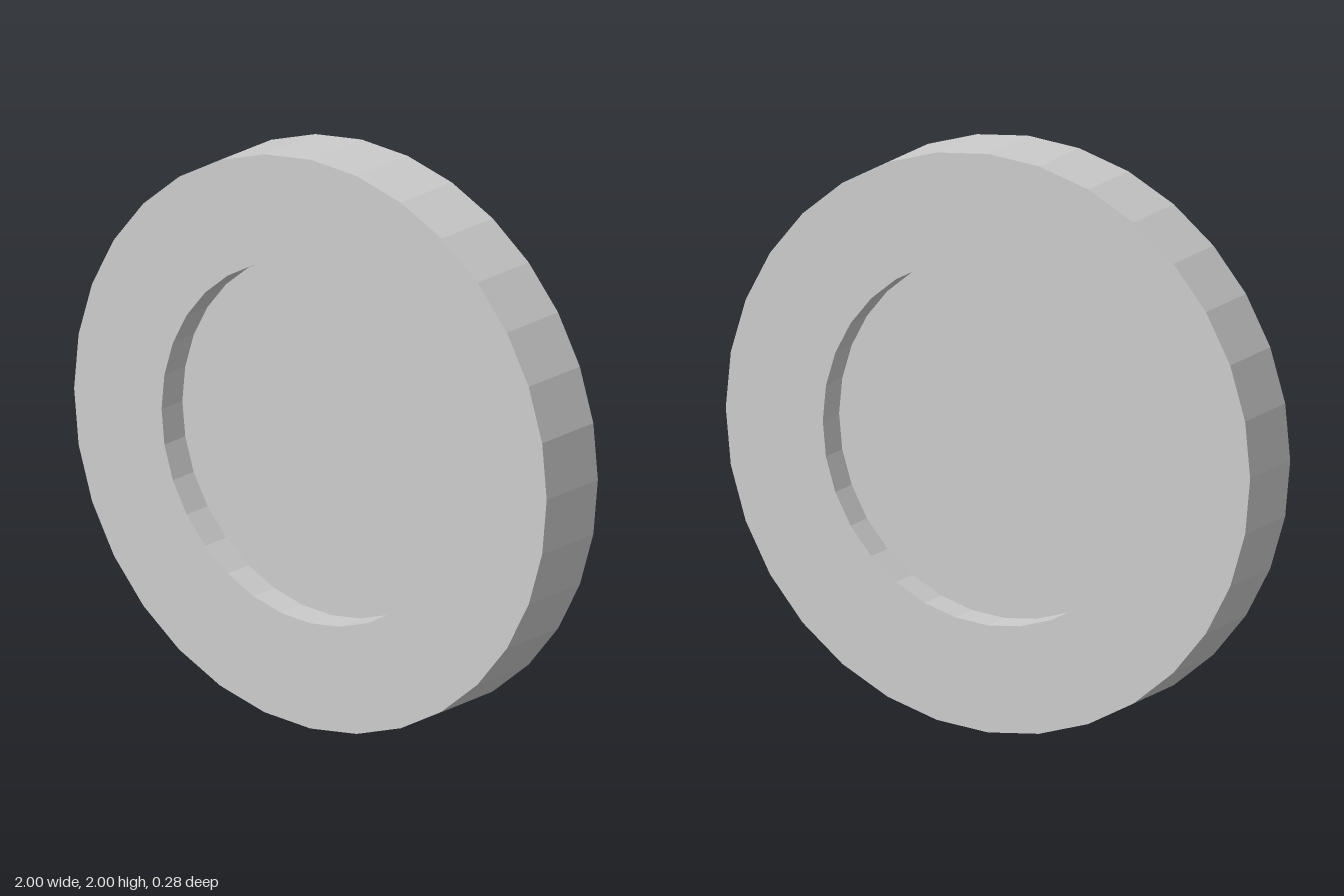
import * as THREE from 'three';

const SIDES = 32;
const OUTER = 1, INNER = 0.63; // radii
const RIM = 0.14, WEB = 0.026; // half thicknesses

export function createModel() {
  const model = new THREE.Group();
  model.name = 'recessedWheel';
  const material = new THREE.MeshStandardMaterial({ color: 0xcccccc, flatShading: true });

  const addPart = (name, geometry) => {
    // turn the axis from y to z and stand the wheel on the ground
    geometry.rotateX(Math.PI / 2).translate(0, OUTER, 0);
    const mesh = new THREE.Mesh(geometry, material);
    mesh.name = name;
    model.add(mesh);
  };

  // thick outer ring, with the recess walls down to the web on both sides
  const profile = [
    [INNER, -WEB], [INNER, -RIM], [OUTER, -RIM],
    [OUTER, RIM], [INNER, RIM], [INNER, WEB],
  ].map(([r, y]) => new THREE.Vector2(r, y));
  addPart('rim', new THREE.LatheGeometry(profile, SIDES));

  // thin disc closing the middle
  addPart('web', new THREE.CylinderGeometry(INNER, INNER, 2 * WEB, SIDES));

  return model;
}
